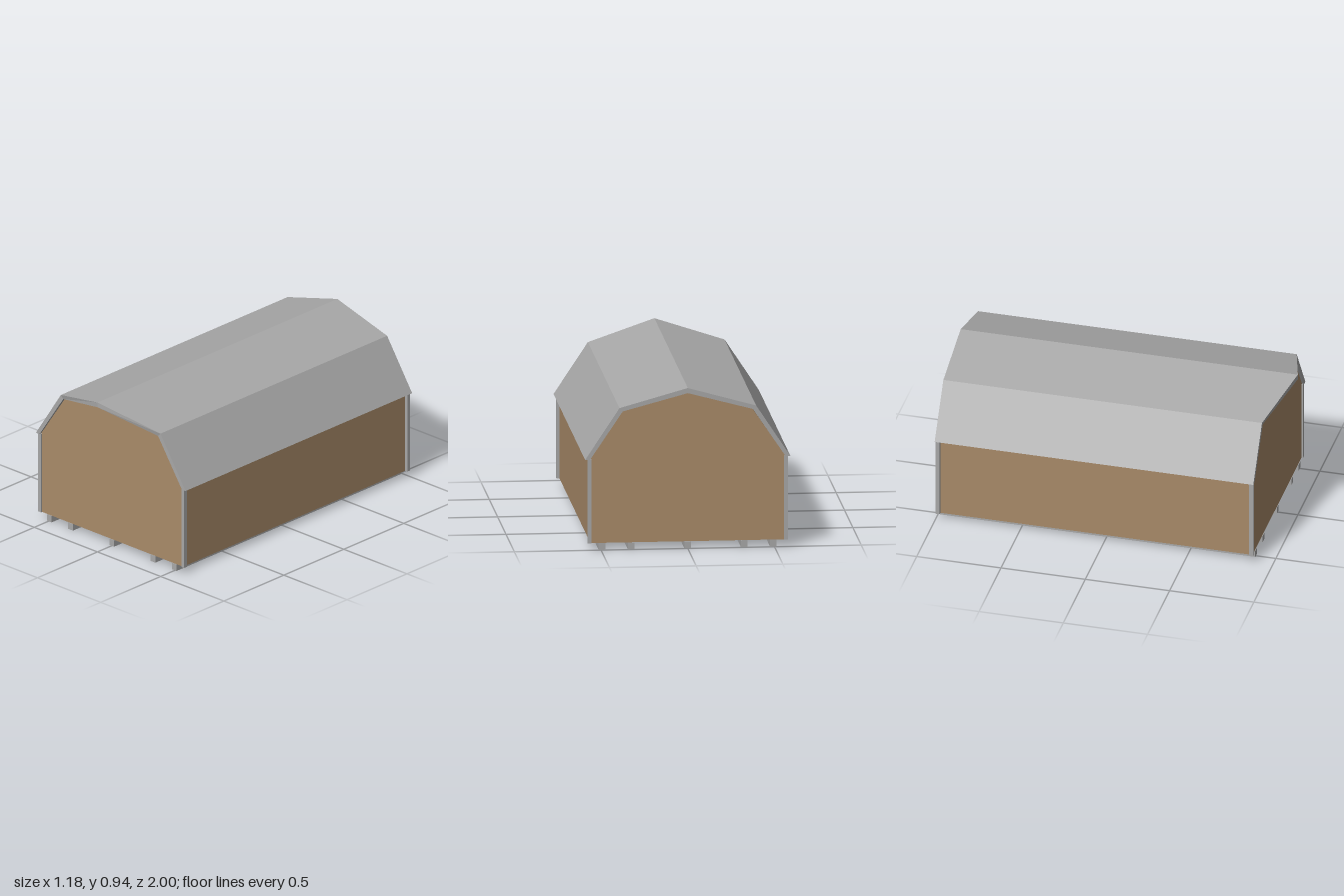
import * as THREE from 'three';

export function createModel() {
  const model = new THREE.Group();
  model.name = 'barn';
  const wood = new THREE.MeshStandardMaterial({ color: 0xa98b69, side: THREE.DoubleSide });
  wood.name = 'tan siding';
  const grey = new THREE.MeshStandardMaterial({ color: 0xa8a8a8 });
  grey.name = 'grey roof and trim';

  const add = (name, geometry, material, x = 0, y = 0, z = 0) => {
    const mesh = new THREE.Mesh(geometry, material);
    mesh.name = name;
    mesh.position.set(x, y, z);
    model.add(mesh);
    return mesh;
  };
  const toShape = (points) => new THREE.Shape(points.map(([x, y]) => new THREE.Vector2(x, y)));
  // Mirror a half profile, given from eave to ridge, across x = 0
  const mirror = (half) => [...half, ...half.slice(0, -1).reverse().map(([x, y]) => [-x, y])];

  const back = -1, front = 0.89;
  const wallBack = -0.987, wallFront = 0.877;

  // Gable end walls
  const wall = mirror([[0.56, 0.04], [0.56, 0.537], [0.374, 0.808], [0, 0.908]]);
  const gable = new THREE.ShapeGeometry(toShape(wall));
  add('frontWall', gable, wood, 0, 0, wallFront);
  add('backWall', gable, wood, 0, 0, wallBack).rotation.y = Math.PI;

  // Side walls and ceiling lining: one flat strip per profile edge, open below
  const positions = [];
  for (let i = 0; i < wall.length - 1; i++) {
    const [a, b] = [wall[i], wall[i + 1]];
    positions.push(...a, wallFront, ...a, wallBack, ...b, wallBack);
    positions.push(...a, wallFront, ...b, wallBack, ...b, wallFront);
  }
  const lining = new THREE.BufferGeometry();
  lining.setAttribute('position', new THREE.Float32BufferAttribute(positions, 3));
  lining.computeVertexNormals();
  add('sideWallsAndCeiling', lining, wood);

  // Gambrel roof, with the ridge drawn forward into a pointed overhang
  const outer = mirror([[0.592, 0.53], [0.394, 0.83], [0, 0.94]]);
  const inner = mirror([[0.565, 0.53], [0.557, 0.54], [0.375, 0.81], [0, 0.91]]).reverse();
  const roof = new THREE.ExtrudeGeometry(toShape([...outer, ...inner]), {
    depth: front - back, bevelEnabled: false,
  });
  roof.translate(0, 0, back);
  const p = roof.attributes.position;
  for (let i = 0; i < p.count; i++) {
    if (p.getZ(i) > 0 && Math.abs(p.getX(i)) < 0.01) p.setZ(i, 1);
  }
  roof.computeVertexNormals();
  add('roof', roof, grey);

  // Corner trim posts
  const post = new THREE.BoxGeometry(0.022, 0.492, 0.024);
  for (const side of [-1, 1]) {
    add('frontCornerTrim', post, grey, side * 0.566, 0.286, 0.874);
    add('backCornerTrim', post, grey, side * 0.566, 0.286, -0.987);
  }

  // Floor skids
  const skid = new THREE.BoxGeometry(0.038, 0.04, 1.872);
  for (const x of [-0.494, -0.326, 0, 0.326, 0.494]) {
    add('skid', skid, grey, x, 0.02, -0.055);
  }

  return model;
}
